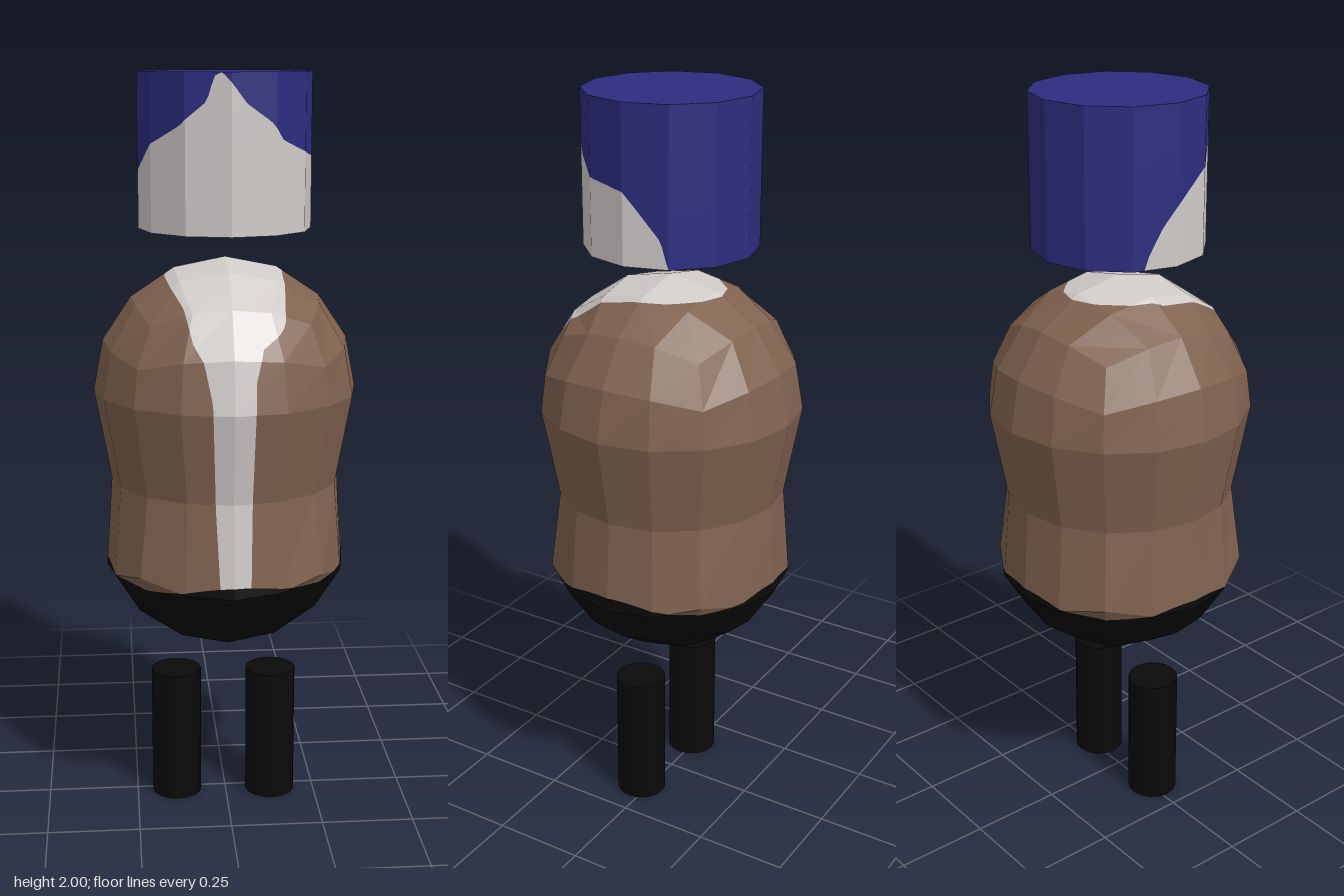
import * as THREE from 'three';

const mat = (name, color) => {
  const m = new THREE.MeshStandardMaterial({ color });
  m.name = name;
  return m;
};

// Linear interpolation in a short list of [key, value] pairs
function curve(points, t) {
  if (t <= points[0][0]) return points[0][1];
  for (let i = 1; i < points.length; i++) {
    const [a, va] = points[i - 1], [b, vb] = points[i];
    if (t <= b) return va + (vb - va) * (t - a) / (b - a);
  }
  return points[points.length - 1][1];
}

// Triangles of a geometry, each cut into n * n smaller ones
function triangles(geometry, n) {
  const p = geometry.toNonIndexed().attributes.position;
  const v = (i) => new THREE.Vector3().fromBufferAttribute(p, i);
  const out = [];
  for (let i = 0; i < p.count; i += 3) {
    const a = v(i), ab = v(i + 1).sub(a).divideScalar(n), ac = v(i + 2).sub(a).divideScalar(n);
    const at = (s, t) => a.clone().addScaledVector(ab, s).addScaledVector(ac, t);
    for (let s = 0; s < n; s++) {
      for (let t = 0; t < n - s; t++) {
        out.push([at(s, t), at(s + 1, t), at(s, t + 1)]);
        if (s + t < n - 1) out.push([at(s + 1, t), at(s + 1, t + 1), at(s, t + 1)]);
      }
    }
  }
  return out;
}

// Keep the part of the triangles where field * sign is positive
function clip(tris, field, sign) {
  const out = [];
  for (const tri of tris) {
    const f = tri.map((q) => field(q) * sign);
    const poly = [];
    for (let i = 0; i < 3; i++) {
      const j = (i + 1) % 3;
      if (f[i] >= 0) poly.push(tri[i]);
      if ((f[i] >= 0) !== (f[j] >= 0)) poly.push(tri[i].clone().lerp(tri[j], f[i] / (f[i] - f[j])));
    }
    for (let i = 2; i < poly.length; i++) out.push([poly[0], poly[i - 1], poly[i]]);
  }
  return out;
}

function patch(name, tris, material) {
  const g = new THREE.BufferGeometry().setFromPoints(tris.flat());
  g.computeVertexNormals(); // unindexed, so every facet is flat
  const m = new THREE.Mesh(g, material);
  m.name = name;
  return m;
}

// Rounded cube with a pinched waist
function bodyGeometry() {
  const g = new THREE.BoxGeometry(4, 5, 4, 4, 5, 4);
  const rows = [ // latitude step, centre height, radius
    [-2, 0.815, 0.352], [-1, 0.815, 0.352], [0, 0.93, 0.308],
    [0, 1.172, 0.352], [1, 1.172, 0.353], [2, 1.172, 0.353],
  ];
  const p = g.attributes.position, v = new THREE.Vector3();
  const spread = (i) => Math.tan(i * Math.PI / 8);
  for (let i = 0; i < p.count; i++) {
    const [lat, centre, radius] = rows[Math.round(p.getY(i) + 2.5)];
    v.set(spread(p.getX(i)), spread(lat), spread(p.getZ(i))).setLength(radius);
    p.setXYZ(i, v.x, v.y + centre, v.z);
  }
  return g;
}

// Edges of the shirt opening by height, and hairline by angle from the front
const SHIRT_RIGHT = [[0.7, -0.035], [0.9, -0.045], [1.2, -0.055], [1.3, -0.075],
  [1.34, -0.1], [1.42, -0.12], [1.49, -0.17]];
const SHIRT_LEFT = [[0.7, 0.045], [1.0, 0.05], [1.25, 0.055], [1.33, 0.075],
  [1.36, 0.12], [1.38, 0.135], [1.49, 0.15]];
const HAIRLINE = [[-113, 1.59], [-110, 1.63], [-100, 1.7], [-90, 1.75], [-62, 1.82], [-35, 1.87],
  [-16, 1.93], [-11, 1.99], [-6, 2], [0, 1.975], [10, 1.925], [27, 1.88], [37, 1.835],
  [62, 1.8], [90, 1.785], [102, 1.73], [115, 1.67], [119, 1.61], [121, 1.59]];

const angle = (q) => Math.atan2(q.x, q.z);
const aboveWaist = (q) =>
  q.y - (0.698 + 0.012 * Math.cos(4 * angle(q)) + 0.008 * Math.sin(angle(q)));
const shirtField = (q) => Math.max(
  q.y - 1.487,
  Math.min(q.x - curve(SHIRT_RIGHT, q.y), curve(SHIRT_LEFT, q.y) - q.x, q.z),
);
const hairField = (q) => q.y - curve(HAIRLINE, THREE.MathUtils.radToDeg(angle(q)));

export function createModel() {
  const brown = mat('brown jacket', 0x80624f);
  const white = mat('pale white', 0xcfcbc9);
  const blue = mat('dark blue', 0x2d2d80);
  const black = mat('black', 0x0a0a0a);
  const model = new THREE.Group();

  // Body: trousers below, jacket with a shirt strip and collar above
  const body = new THREE.Group();
  body.name = 'body';
  const skin = triangles(bodyGeometry(), 8);
  const upper = clip(skin, aboveWaist, 1);
  body.add(
    patch('trousers', clip(skin, aboveWaist, -1), black),
    patch('jacket', clip(upper, shirtField, -1), brown),
    patch('shirt', clip(upper, shirtField, 1), white),
  );

  // Floating head: twelve-sided drum with hair wrapped round the face
  const head = new THREE.Group();
  head.name = 'head';
  const R = 0.227;
  const drum = new THREE.CylinderGeometry(R, R, 0.4, 12, 1, true).translate(0, 1.8, 0);
  const side = triangles(drum, 14);
  head.add(
    patch('face', clip(side, hairField, -1), white),
    patch('hair', clip(side, hairField, 1), blue),
  );
  for (const [name, y, turn, material] of [['hairTop', 2, -1, blue], ['chin', 1.6, 1, white]]) {
    const cap = new THREE.Mesh(new THREE.CircleGeometry(R, 12), material);
    cap.name = name;
    cap.rotation.x = turn * Math.PI / 2;
    cap.position.y = y;
    head.add(cap);
  }

  // Floating legs
  const legGeometry = new THREE.CylinderGeometry(0.069, 0.069, 0.37, 16);
  for (const [name, x, z] of [['leftLeg', 0.126, 0.024], ['rightLeg', -0.138, 0.013]]) {
    const leg = new THREE.Mesh(legGeometry, black);
    leg.name = name;
    leg.position.set(x, 0.185, z);
    model.add(leg);
  }

  model.add(body, head);
  return model;
}
